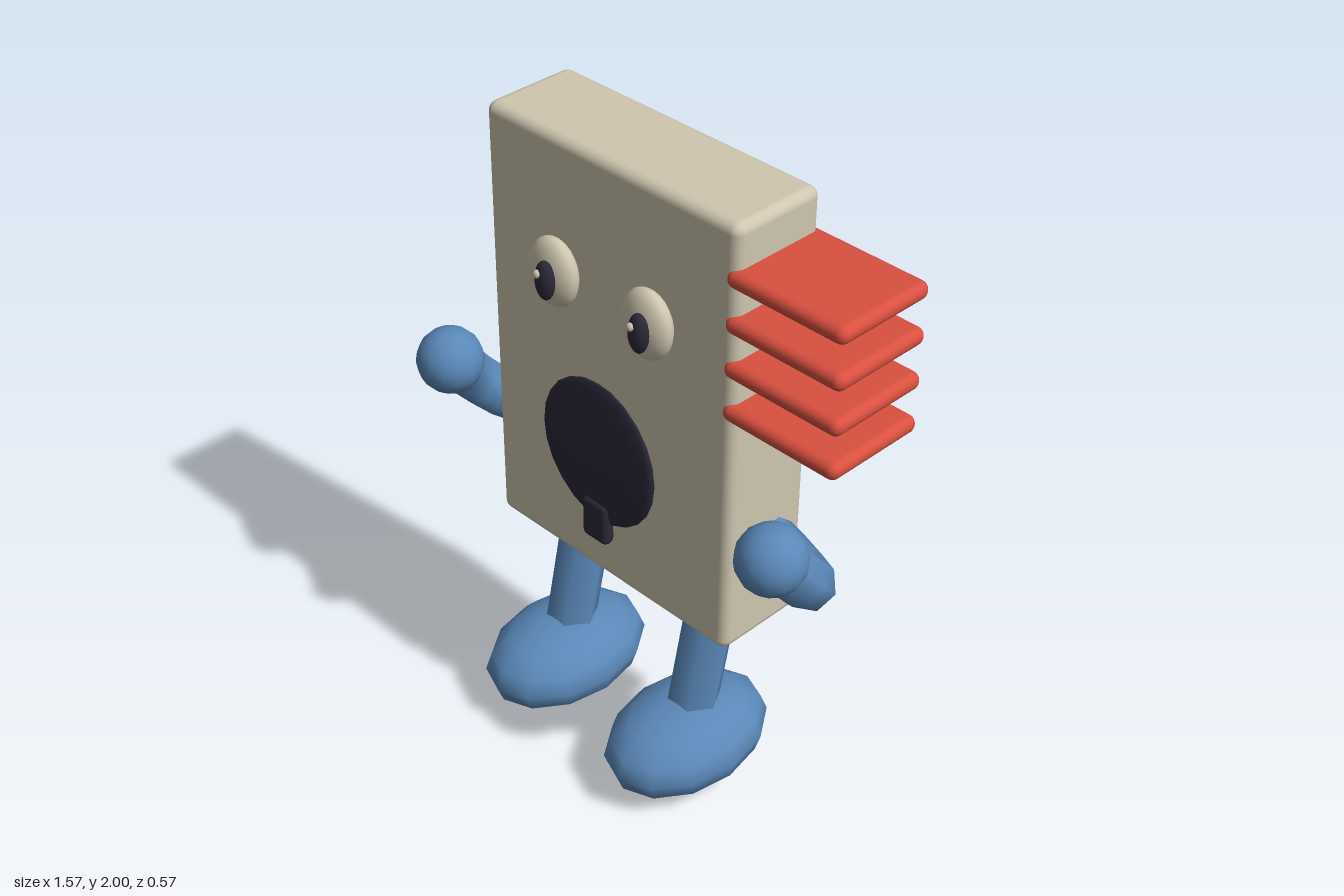
import * as THREE from 'three';
import { RoundedBoxGeometry } from 'three/addons/geometries/RoundedBoxGeometry.js';

const MID = -0.035; // the figure's own centre line, pushed aside by the fins

const paint = (name, color) => {
  const m = new THREE.MeshStandardMaterial({ color });
  m.name = name;
  return m;
};

export function createModel() {
  const cream = paint('cream', 0xcfc6b0);
  const blue = paint('blue', 0x5a88b8);
  const red = paint('red', 0xd95040);
  const dark = paint('dark', 0x2b2838);

  const model = new THREE.Group();
  model.name = 'boxFigure';

  const add = (name, geometry, material, x = 0, y = 0, z = 0) => {
    const mesh = new THREE.Mesh(geometry, material);
    mesh.name = name;
    mesh.position.set(x, y, z);
    model.add(mesh);
    return mesh;
  };
  const ellipsoid = (rx, ry, rz, w = 12, h = 8) =>
    new THREE.SphereGeometry(1, w, h).scale(rx, ry, rz);
  const box = (w, h, d, r, seg = 3) => new RoundedBoxGeometry(w, h, d, seg, r);

  // Slab body
  add('body', box(0.93, 1.37, 0.305, 0.03), cream, MID, 1.315, -0.0875);

  // Stack of fins on the left side
  for (let i = 0; i < 4; i++) {
    add('fin', box(0.39, 0.052, 0.328, 0.025), red, 0.59, 1.85 - i * 0.134, -0.0875);
  }

  // Mouth and the flap hanging from it
  add('mouth', ellipsoid(0.222, 0.235, 0.021, 14, 12), dark, MID, 1.1, 0.1);
  add('mouthFlap', box(0.1, 0.14, 0.042, 0.018, 2), dark, MID, 0.868, 0.103);

  for (const s of [-1, 1]) {
    const side = s > 0 ? 'left' : 'right';
    const x = (u) => MID + s * u;

    // Eye, with both pupils shifted slightly toward the same side
    const ex = x(0.178);
    add(side + 'Eye', ellipsoid(0.088, 0.105, 0.045, 24, 16), cream, ex, 1.605, 0.088);
    add(side + 'Pupil', ellipsoid(0.033, 0.06, 0.024, 16, 12), dark, ex + 0.017, 1.605, 0.136);
    add(side + 'EyeGlint', ellipsoid(0.012, 0.013, 0.01, 8, 6), cream, ex + 0.008, 1.63, 0.157);

    // Bent arm with a ball hand
    const path = new THREE.CatmullRomCurve3([
      [0.38, 0.965, -0.115], [0.52, 0.9, -0.125], [0.62, 0.9, -0.09],
      [0.675, 0.97, -0.02], [0.645, 1.09, 0.08],
    ].map(([u, py, pz]) => new THREE.Vector3(x(u), py, pz)));
    add(side + 'Arm', new THREE.TubeGeometry(path, 8, 0.077, 7), blue);
    add(side + 'Hand', ellipsoid(0.102, 0.102, 0.102, 14, 10), blue, x(0.645), 1.093, 0.09);

    // Leaning six-sided leg and big oval foot
    const leg = new THREE.CylinderGeometry(0.08, 0.08, 0.4, 6).rotateY(Math.PI / 6);
    add(side + 'Leg', leg, blue, x(0.265), 0.342, -0.043).rotation.x = -0.21;
    add(side + 'Foot', ellipsoid(0.198, 0.142, 0.286, 12, 8), blue, x(0.265), 0.145, 0);
  }

  return model;
}
